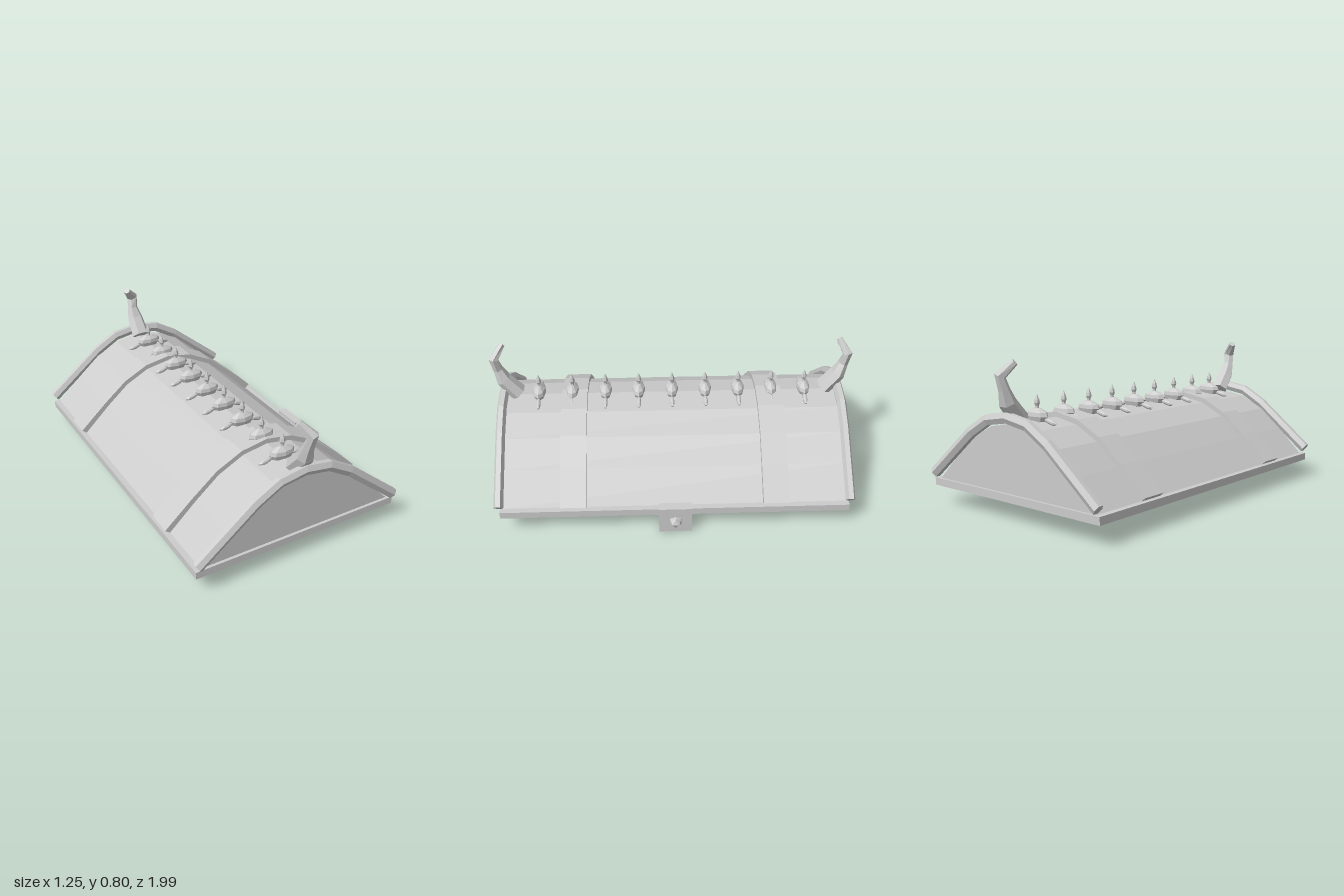
import * as THREE from 'three';

const CX = -0.025; // the lid's ridge line
const metal = new THREE.MeshStandardMaterial({ color: 0xcccccc, flatShading: true });
metal.name = 'grey metal';

function add(parent, name, geometry, x = 0, y = 0, z = 0) {
  const mesh = new THREE.Mesh(geometry, metal);
  mesh.name = name;
  mesh.position.set(x, y, z);
  parent.add(mesh);
  return mesh;
}

// Mirrors a half profile, given from the edge up to the ridge
function arch(half) {
  const right = half.slice(0, -1).reverse();
  return [...half.map(([x, y]) => [-x, y]), ...right];
}

// Solid arch running along z
function archSolid(half, z0, z1) {
  const shape = new THREE.Shape(arch(half).map(([x, y]) => new THREE.Vector2(x, y)));
  return new THREE.ExtrudeGeometry(shape, { depth: z1 - z0, bevelEnabled: false }).translate(CX, 0, z0);
}

// Closed skin over rings of equal length, with faces turned outward
function loft(rings) {
  const n = rings[0].length, tris = [];
  for (let i = 0; i < rings.length - 1; i++) {
    for (let j = 0; j < n; j++) {
      const k = (j + 1) % n;
      const [a, b, c, d] = [rings[i][j], rings[i][k], rings[i + 1][k], rings[i + 1][j]];
      tris.push([a, b, c], [a, c, d]);
    }
  }
  const first = rings[0], last = rings[rings.length - 1];
  for (let j = 1; j < n - 1; j++) {
    tris.push([first[0], first[j + 1], first[j]], [last[0], last[j], last[j + 1]]);
  }
  const volume = tris.reduce((s, [a, b, c]) => s + a.dot(b.clone().cross(c)), 0);
  if (volume < 0) tris.forEach((t) => t.reverse());
  const geometry = new THREE.BufferGeometry().setFromPoints(tris.flat());
  geometry.computeVertexNormals();
  return geometry;
}

// Six-sided bar bent over the end of the lid
function trimGeometry(z) {
  const path = arch([[0.583, 0.17], [0.272, 0.42], [0.142, 0.495], [0, 0.518]])
    .map(([x, y]) => new THREE.Vector2(x, y));
  return loft(path.map((p, i) => {
    const before = path[Math.max(i - 1, 0)], after = path[Math.min(i + 1, path.length - 1)];
    const t = after.clone().sub(before).normalize();
    return Array.from({ length: 6 }, (_, j) => {
      const a = (j / 6) * Math.PI * 2;
      const r = Math.sin(a) * 0.031;
      return new THREE.Vector3(CX + p.x - t.y * r, p.y + t.x * r, z + Math.cos(a) * 0.026);
    });
  }));
}

// Crooked horn leaning outward, with its tip bent back in
function hornGeometry(side) {
  const stations = [ // x, y, z, radius
    [-0.025, 0.5, 0.855, 0.055], [-0.025, 0.59, 0.928, 0.049],
    [-0.03, 0.655, 0.952, 0.032], [-0.022, 0.72, 0.968, 0.033],
    [-0.076, 0.785, 0.922, 0.02],
  ];
  const centres = stations.map(([x, y, z]) => new THREE.Vector3(x, y, z * side));
  return loft(stations.map((s, i) => {
    const t = centres[Math.min(i + 1, 4)].clone().sub(centres[Math.max(i - 1, 0)]).normalize();
    const u = new THREE.Vector3(1, 0, 0).addScaledVector(t, -t.x).normalize();
    const v = t.clone().cross(u);
    return Array.from({ length: 6 }, (_, j) => {
      const a = (j / 6) * Math.PI * 2;
      return centres[i].clone()
        .addScaledVector(u, Math.cos(a) * s[3])
        .addScaledVector(v, Math.sin(a) * s[3] * 0.85);
    });
  }));
}

// Ridge ornament: faceted body, finial and two drooping arms
function ridgeOrnament() {
  const group = new THREE.Group();
  group.name = 'ridgeOrnament';
  const points = (list) => list.map(([r, y]) => new THREE.Vector2(r, y));
  const body = new THREE.LatheGeometry(points([[0, -0.01], [0.03, 0], [0.038, 0.025], [0.034, 0.045], [0.013, 0.064], [0, 0.066]]), 8);
  add(group, 'ornamentBody', body.scale(1.95, 1, 0.95));
  const finial = new THREE.LatheGeometry(points([[0.012, 0.055], [0.009, 0.075], [0.016, 0.09], [0.012, 0.108], [0, 0.136]]), 6);
  add(group, 'ornamentFinial', finial);
  for (const side of [-1, 1]) {
    const arm = new THREE.SphereGeometry(1, 7, 5).scale(0.043, 0.014, 0.013);
    const mesh = add(group, 'ornamentArm', arm, side * 0.094, 0.004, 0);
    mesh.rotation.z = -side * 0.25;
  }
  return group;
}

export function createModel() {
  const model = new THREE.Group();
  model.name = 'chestLid';

  // Rim and arched lid
  add(model, 'baseRim', new THREE.BoxGeometry(1.18, 0.04, 1.86), CX, 0.12, 0);
  add(model, 'lid', archSolid([[0.56, 0.138], [0.41, 0.28], [0.28, 0.39], [0.142, 0.46], [0, 0.485]], -0.915, 0.915));

  // Straps, end trims and horns
  const strap = [[0.555, 0.135], [0.585, 0.16], [0.43, 0.3], [0.292, 0.414], [0.148, 0.486], [0, 0.511]];
  for (const side of [-1, 1]) {
    add(model, 'strap', archSolid(strap, side * 0.54 - 0.07, side * 0.54 + 0.07));
    add(model, 'endTrim', trimGeometry(side * 0.932));
    add(model, 'horn', hornGeometry(side));
  }

  // Row of ornaments along the ridge
  for (let i = -4; i <= 4; i++) {
    const ornament = ridgeOrnament();
    ornament.position.set(CX, 0.48, i * 0.185);
    model.add(ornament);
  }

  // Latch plate and knob
  add(model, 'latchPlate', new THREE.BoxGeometry(0.05, 0.16, 0.175), 0.565, 0.08, 0);
  add(model, 'latchKnob', new THREE.IcosahedronGeometry(0.035, 0), 0.593, 0.075, 0);

  return model;
}
